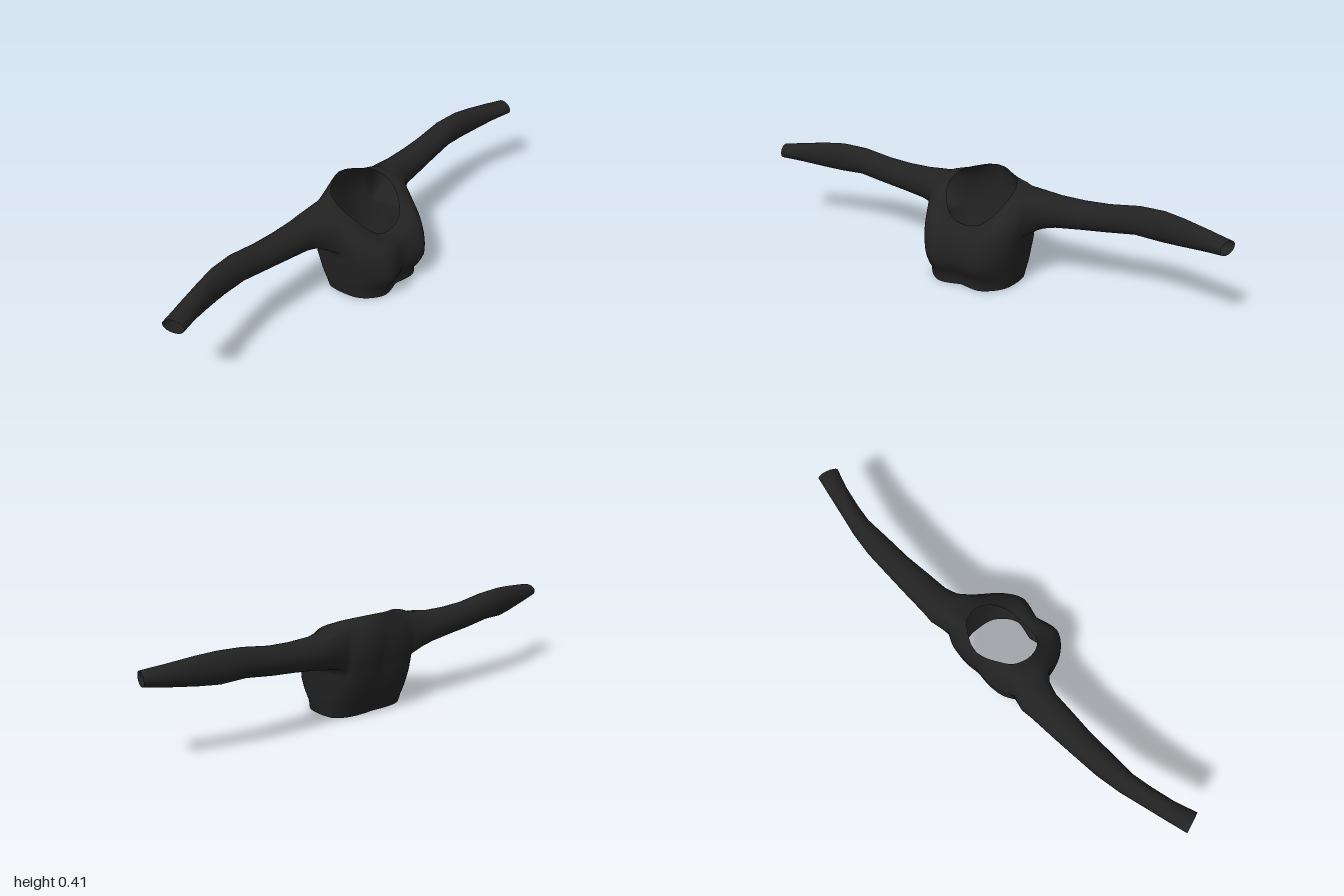
import * as THREE from 'three';

const COLS = 36;      // columns from front centre to back centre, one half
const YOKE = 10;      // rows from chest to neckline
const ARM = { from: 15, to: 26, top: 7 };   // armhole columns and height in yoke rows

const curve = pts => new THREE.CatmullRomCurve3(pts.map(p => new THREE.Vector3(...p)), false, 'catmullrom', 0.5);

// Half cross-section at the chest, front centre to back centre
const chest = curve([
  [0, 0, 0.157], [0.09, 0, 0.177], [0.15, 0, 0.14], [0.188, 0, 0.08], [0.2, 0, 0],
  [0.2, 0, -0.06], [0.19, 0, -0.12], [0.14, 0, -0.165], [0.07, 0, -0.178], [0, 0, -0.172],
]);
// Points that pull the yoke outwards over the shoulders
const shoulder = curve([
  [0, 0.235, 0.14], [0.09, 0.255, 0.14], [0.15, 0.28, 0.11], [0.2, 0.32, 0.05], [0.25, 0.36, 0],
  [0.27, 0.37, -0.07], [0.25, 0.37, -0.14], [0.14, 0.33, -0.19], [0.07, 0.32, -0.2], [0, 0.32, -0.195],
]);
// Scooped neckline
const neck = curve([
  [0, 0.237, 0.085], [0.055, 0.248, 0.082], [0.095, 0.28, 0.062], [0.125, 0.32, 0.025], [0.139, 0.352, -0.02],
  [0.137, 0.372, -0.06], [0.12, 0.386, -0.1], [0.085, 0.395, -0.128], [0.04, 0.403, -0.155], [0, 0.405, -0.165],
]);
// Torso rings: height, half width, front depth, back depth
const torsoRings = [
  [0, 0.18, 0.14, 0.11], [0.03, 0.185, 0.138, 0.12], [0.06, 0.19, 0.16, 0.135], [0.085, 0.193, 0.175, 0.146],
  [0.11, 0.195, 0.185, 0.155], [0.145, 0.199, 0.185, 0.166], [0.18, 0.202, 0.178, 0.172], [0.205, 0.204, 0.167, 0.176],
];
// Sleeve rings: x, bottom, top, back, front
const sleeveRings = [
  [0.25, 0.214, 0.359, -0.175, -0.025], [0.3, 0.225, 0.352, -0.171, -0.042], [0.4, 0.238, 0.35, -0.169, -0.05],
  [0.5, 0.248, 0.356, -0.166, -0.06], [0.62, 0.264, 0.374, -0.163, -0.065], [0.72, 0.26, 0.379, -0.147, -0.068],
  [0.8, 0.267, 0.373, -0.128, -0.055], [0.9, 0.28, 0.36, -0.105, -0.032], [0.987, 0.293, 0.347, -0.084, -0.003],
];

function torsoGrid() {
  const rows = torsoRings.map(([y, w, front, back]) =>
    Array.from({ length: COLS + 1 }, (_, j) => {
      const p = chest.getPoint(j / COLS);
      return new THREE.Vector3(p.x * w / 0.2, y, p.z * (p.z > 0 ? front / 0.177 : back / 0.178));
    }));
  const base = rows[rows.length - 1];
  for (let k = 1; k <= YOKE; k++) {
    const t = k / YOKE;
    rows.push(base.map((p, j) => new THREE.QuadraticBezierCurve3(
      p, shoulder.getPoint(j / COLS), neck.getPoint(j / COLS)).getPoint(t)));
  }
  return rows;
}

// Armhole edge, then elliptical rings out to the open cuff
function sleeveLoops(rows) {
  const r0 = torsoRings.length - 1, r1 = r0 + ARM.top, hole = [];
  for (let j = ARM.from; j < ARM.to; j++) hole.push(rows[r0][j]);
  for (let r = r0; r < r1; r++) hole.push(rows[r][ARM.to]);
  for (let j = ARM.to; j > ARM.from; j--) hole.push(rows[r1][j]);
  for (let r = r1; r > r0; r--) hole.push(rows[r][ARM.from]);
  const box = new THREE.Box3().setFromPoints(hole);
  const c = box.getCenter(new THREE.Vector3()), s = box.getSize(new THREE.Vector3());
  const angles = hole.map(p => Math.atan2((p.y - c.y) / s.y, (p.z - c.z) / s.z));
  const loops = sleeveRings.map(([x, bottom, top, back, front]) => angles.map(a => {
    const dz = (front - back) / 2 * Math.cos(a);
    const slant = 0.32 * Math.max(0, (x - 0.55) / 0.45);
    return new THREE.Vector3(x - dz * slant, (bottom + top) / 2 + (top - bottom) / 2 * Math.sin(a), (front + back) / 2 + dz);
  }));
  return [hole, ...loops];
}

export function createModel() {
  const fabric = new THREE.MeshStandardMaterial({ color: 0x222222, side: THREE.DoubleSide });
  fabric.name = 'black fabric';

  // Shared welded vertices keep the shading smooth across the seams
  const positions = [], lookup = new Map();
  const vertex = (p, side) => {
    const v = [p.x * side, p.y, p.z];
    const key = v.map(n => Math.round(n * 1e5)).join();
    if (!lookup.has(key)) {
      lookup.set(key, positions.length / 3);
      positions.push(...v);
    }
    return lookup.get(key);
  };
  const quad = (faces, side, ...corners) => {
    const [a, b, c, d] = corners.map(p => vertex(p, side));
    faces.push(...(side > 0 ? [a, b, c, a, c, d] : [a, c, b, a, d, c]));
  };

  const parts = { torso: [], leftSleeve: [], rightSleeve: [] };
  const rows = torsoGrid(), loops = sleeveLoops(rows);
  const chestRow = torsoRings.length - 1;
  for (const side of [1, -1]) {
    for (let r = 0; r < rows.length - 1; r++) {
      for (let j = 0; j < COLS; j++) {
        const inArmhole = j >= ARM.from && j < ARM.to && r >= chestRow && r < chestRow + ARM.top;
        if (!inArmhole) quad(parts.torso, side, rows[r][j], rows[r][j + 1], rows[r + 1][j + 1], rows[r + 1][j]);
      }
    }
    const sleeve = side > 0 ? parts.leftSleeve : parts.rightSleeve;
    for (let r = 0; r < loops.length - 1; r++) {
      const n = loops[r].length;
      for (let i = 0; i < n; i++) {
        const k = (i + 1) % n;
        quad(sleeve, side, loops[r][i], loops[r][k], loops[r + 1][k], loops[r + 1][i]);
      }
    }
  }

  const whole = new THREE.BufferGeometry();
  whole.setAttribute('position', new THREE.Float32BufferAttribute(positions, 3));
  whole.setIndex(Object.values(parts).flat());
  whole.computeVertexNormals();

  const group = new THREE.Group();
  group.name = 'longSleeveTop';
  for (const [name, faces] of Object.entries(parts)) {
    const geometry = new THREE.BufferGeometry();
    geometry.setAttribute('position', whole.getAttribute('position'));
    geometry.setAttribute('normal', whole.getAttribute('normal'));
    geometry.setIndex(faces);
    const mesh = new THREE.Mesh(geometry, fabric);
    mesh.name = name;
    group.add(mesh);
  }
  return group;
}
